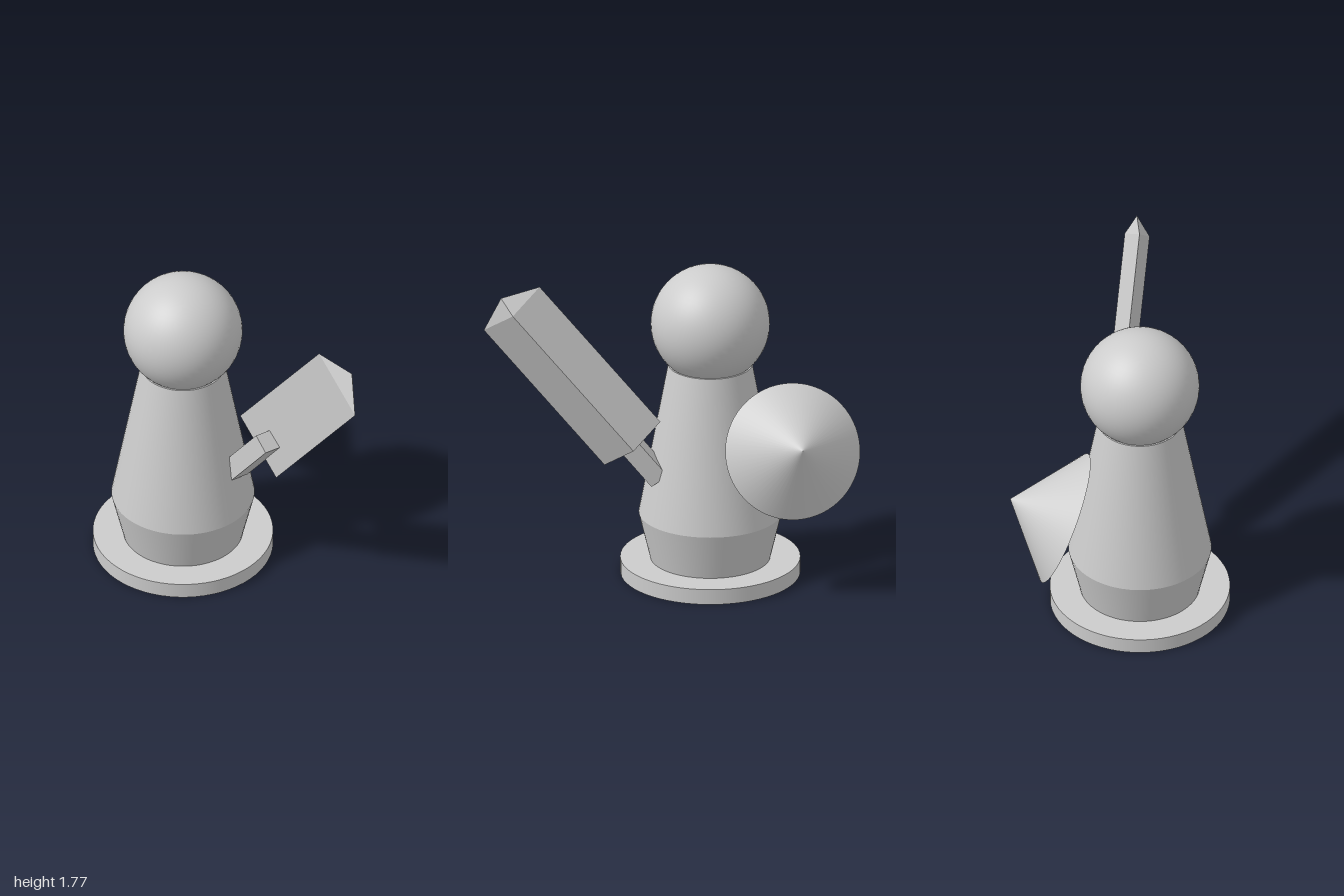
import * as THREE from 'three';

const V = (x, y, z) => new THREE.Vector3(x, y, z);

// Flat-sided prism: section runs counter-clockwise seen from its far end; optional tip closes it to a point
function prism(section, axis, tip) {
  const mean = (ps) => ps.reduce((s, p) => s.add(p), V(0, 0, 0)).divideScalar(ps.length);
  const far = section.map((p) => p.clone().add(axis));
  const end = tip || mean(far);
  const start = mean(section);
  const pts = [];
  section.forEach((a, i) => {
    const j = (i + 1) % section.length;
    const b = section[j];
    pts.push(a, b, far[j], a, far[j], far[i]);
    pts.push(far[i], far[j], end);
    pts.push(b, a, start);
  });
  const geometry = new THREE.BufferGeometry().setFromPoints(pts);
  geometry.computeVertexNormals();
  return geometry;
}

export function createModel() {
  const model = new THREE.Group();
  const grey = new THREE.MeshStandardMaterial({ color: 0xcccccc });
  grey.name = 'plain grey';

  const add = (name, geometry, parent = model) => {
    const mesh = new THREE.Mesh(geometry, grey);
    mesh.name = name;
    parent.add(mesh);
    return mesh;
  };

  // Round figure: base disc, flared skirt, tapering torso and ball head
  const figure = new THREE.Group();
  figure.name = 'figure';
  figure.position.set(-0.25, 0, 0.1);
  model.add(figure);
  const ring = (name, top, bottom, y0, y1) => {
    add(name, new THREE.CylinderGeometry(top, bottom, y1 - y0, 64), figure).position.y = (y0 + y1) / 2;
  };
  ring('base', 0.488, 0.488, 0, 0.087);
  ring('skirt', 0.388, 0.325, 0.087, 0.35);
  ring('torso', 0.228, 0.388, 0.35, 1.21);
  add('head', new THREE.SphereGeometry(0.323, 48, 32), figure).position.y = 1.447;

  // Cone shield on the back, its point aimed backward and upward
  const shield = add('shield', new THREE.ConeGeometry(0.371, 0.32, 64));
  const aim = V(0, 0.12, -0.297).normalize();
  shield.quaternion.setFromUnitVectors(V(0, 1, 0), aim);
  shield.position.set(-0.63, 0.822, -0.288).addScaledVector(aim, 0.16);

  // Square arm reaching up and outward
  const corner = V(0.09, 0.59, 0.085);
  const depth = V(0.01, -0.02, -0.12);
  const width = V(-0.085, 0.065, -0.017);
  add('arm', prism([
    corner,
    corner.clone().add(depth),
    corner.clone().add(depth).add(width),
    corner.clone().add(width),
  ], V(0.28, 0.35, 0.032)));

  // Three-sided blade with a short pyramid tip
  add('blade', prism(
    [V(0.05, 0.945, -0.03), V(0.35, 0.7, 0.01), V(0.215, 0.82, -0.118)],
    V(0.65, 0.805, 0.08),
    V(0.918, 1.71, 0.025),
  ));

  return model;
}
